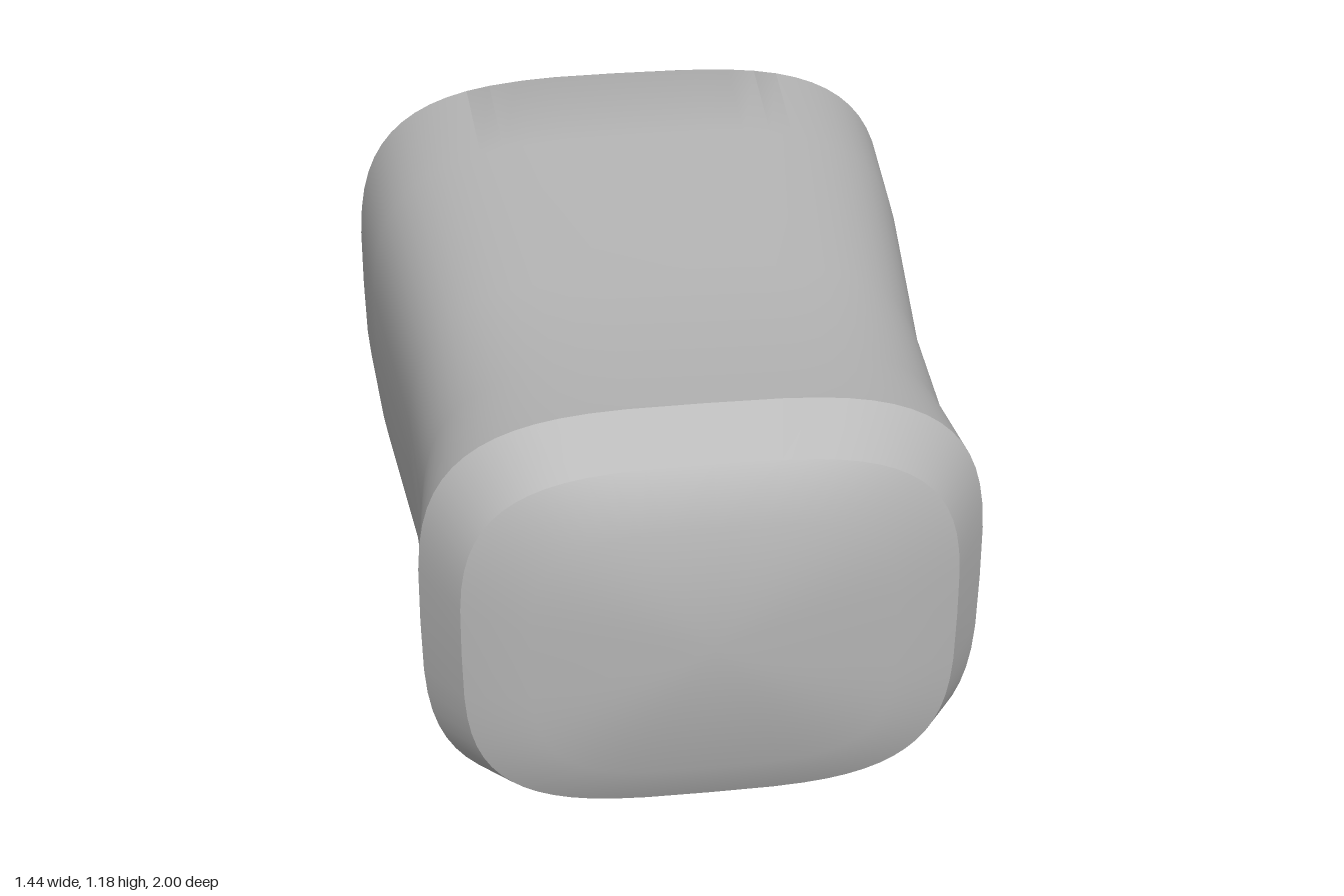
import * as THREE from 'three';
import { toCreasedNormals } from 'three/addons/utils/BufferGeometryUtils.js';

const SEGMENTS = 64;
const SQUARENESS = 3.5; // superellipse exponent of every cross-section
const CENTER_Y = 0.597;

// cross-sections from front to back: z, half width, half height
const SECTIONS = [
  [1.0, 0.42, 0.342],
  [0.94, 0.57, 0.468],
  [0.8, 0.655, 0.538],
  [0.55, 0.632, 0.518],
  [0.18, 0.642, 0.523],
  [-0.42, 0.702, 0.578],
  [-0.76, 0.722, 0.592],
  [-0.92, 0.626, 0.515],
  [-1.0, 0.465, 0.383],
];

const power = (v) => Math.sign(v) * Math.pow(Math.abs(v), 2 / SQUARENESS);

// closed loft through the cross-sections, with a fan at each end
function loft(sections) {
  const positions = [];
  const index = [];
  for (const [z, w, h] of sections) {
    for (let j = 0; j < SEGMENTS; j++) {
      const a = (j / SEGMENTS) * Math.PI * 2;
      positions.push(w * power(Math.cos(a)), CENTER_Y + h * power(Math.sin(a)), z);
    }
  }
  const last = sections.length - 1;
  const front = sections.length * SEGMENTS;
  const back = front + 1;
  positions.push(0, CENTER_Y, sections[0][0], 0, CENTER_Y, sections[last][0]);

  for (let j = 0; j < SEGMENTS; j++) {
    const k = (j + 1) % SEGMENTS;
    for (let i = 0; i < last; i++) {
      const r = i * SEGMENTS;
      const s = r + SEGMENTS;
      index.push(r + j, s + j, r + k, r + k, s + j, s + k);
    }
    index.push(front, j, k);
    index.push(back, last * SEGMENTS + k, last * SEGMENTS + j);
  }

  const geometry = new THREE.BufferGeometry();
  geometry.setAttribute('position', new THREE.Float32BufferAttribute(positions, 3));
  geometry.setIndex(index);
  return toCreasedNormals(geometry, THREE.MathUtils.degToRad(30));
}

export function createModel() {
  const grey = new THREE.MeshStandardMaterial({ color: 0xb4b4b4 });
  grey.name = 'grey';

  // waisted, rounded body with bevelled ends
  const body = new THREE.Mesh(loft(SECTIONS), grey);
  body.name = 'body';

  const model = new THREE.Group();
  model.name = 'roundedBlock';
  model.add(body);
  return model;
}
